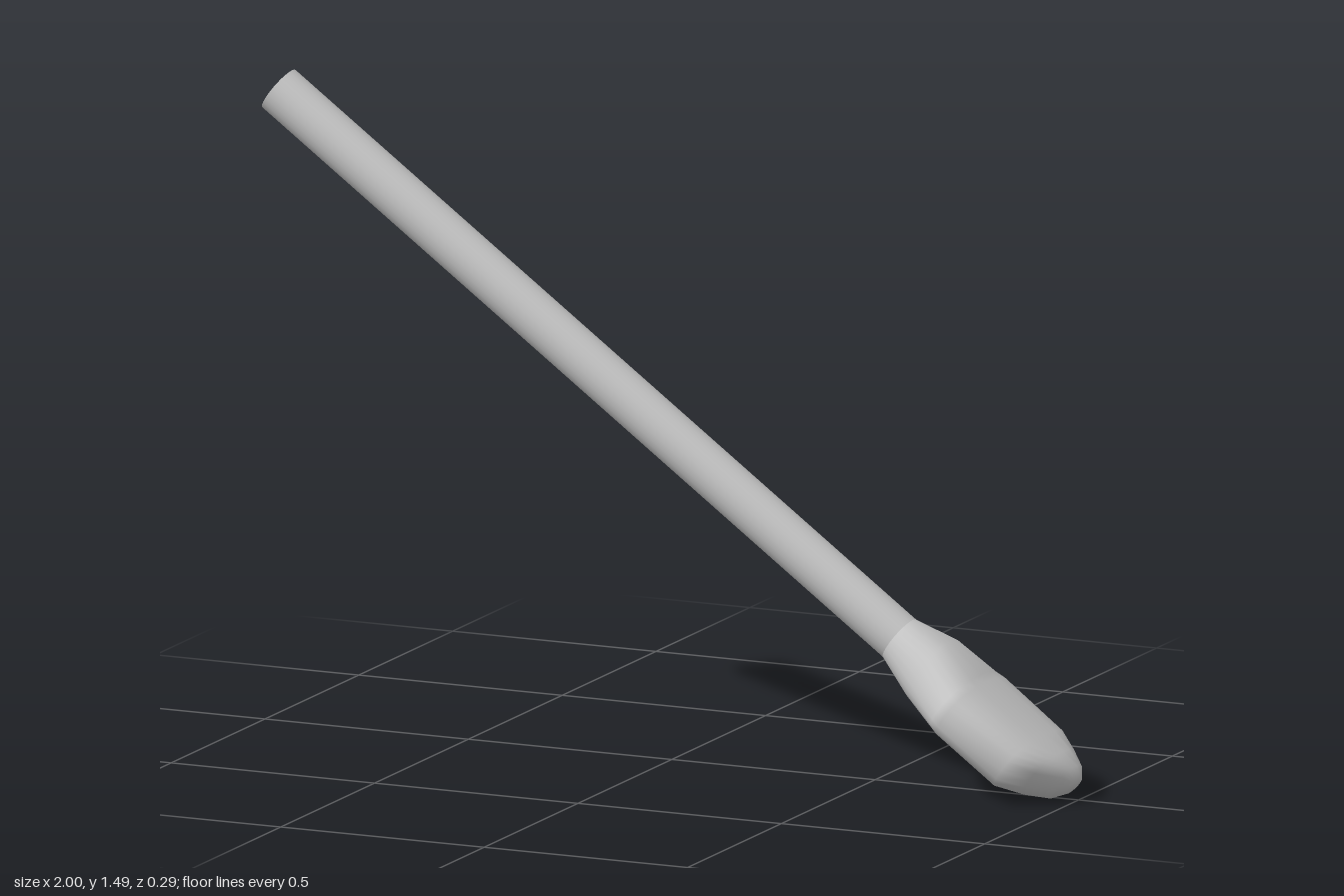
import * as THREE from 'three';

const SIDES = 24;

// Smooth loft along local x; each ring is [x, lowest y, highest y, half width z, roundness]
function loft(rings) {
  const pos = [], index = [];
  for (const [x, lo, hi, w, e] of rings) {
    for (let i = 0; i < SIDES; i++) {
      const a = (i / SIDES) * Math.PI * 2;
      const c = Math.cos(a), s = Math.sin(a);
      const y = Math.sign(c) * Math.abs(c) ** e;
      const z = Math.sign(s) * Math.abs(s) ** e;
      pos.push(x, (lo + hi) / 2 + (y * (hi - lo)) / 2, z * w);
    }
  }
  for (let r = 0; r < rings.length - 1; r++) {
    for (let i = 0; i < SIDES; i++) {
      const j = (i + 1) % SIDES;
      const a = r * SIDES + i, b = r * SIDES + j;
      index.push(a, b, a + SIDES, b, b + SIDES, a + SIDES);
    }
  }
  // close the far end
  const last = rings[rings.length - 1], tip = pos.length / 3, base = (rings.length - 1) * SIDES;
  pos.push(last[0] + 0.004, (last[1] + last[2]) / 2, 0);
  for (let i = 0; i < SIDES; i++) index.push(base + i, base + ((i + 1) % SIDES), tip);

  const g = new THREE.BufferGeometry();
  g.setAttribute('position', new THREE.Float32BufferAttribute(pos, 3));
  g.setIndex(index);
  g.computeVertexNormals();
  return g;
}

export function createModel() {
  const group = new THREE.Group();
  const material = new THREE.MeshStandardMaterial({ color: 0xcccccc });
  const R = 0.056, LENGTH = 1.89;

  // Everything is built along local x, then tilted down toward the head
  const body = new THREE.Group();
  body.name = 'spoon';
  body.position.set(0.56, 0.335, 0);
  body.rotation.z = -Math.atan2(0.59, 0.807);

  // Long round handle with a flat end
  const handle = new THREE.Mesh(new THREE.CylinderGeometry(R, R, LENGTH, SIDES), material);
  handle.name = 'handle';
  handle.rotation.z = Math.PI / 2;
  handle.position.x = -LENGTH / 2;

  // Flattened paddle-shaped head
  const head = new THREE.Mesh(loft([
    [0.0, -R, R, R, 1],
    [0.1, -0.081, 0.079, 0.09, 0.9],
    [0.2, -0.081, 0.065, 0.138, 0.8],
    [0.222, -0.081, 0.064, 0.145, 0.75],
    [0.4, -0.081, 0.06, 0.145, 0.75],
    [0.455, -0.064, 0.058, 0.103, 0.8],
    [0.5, -0.042, 0.054, 0.06, 0.9],
    [0.522, -0.01, 0.035, 0.032, 1],
  ]), material);
  head.name = 'head';

  body.add(handle, head);
  group.add(body);
  return group;
}
